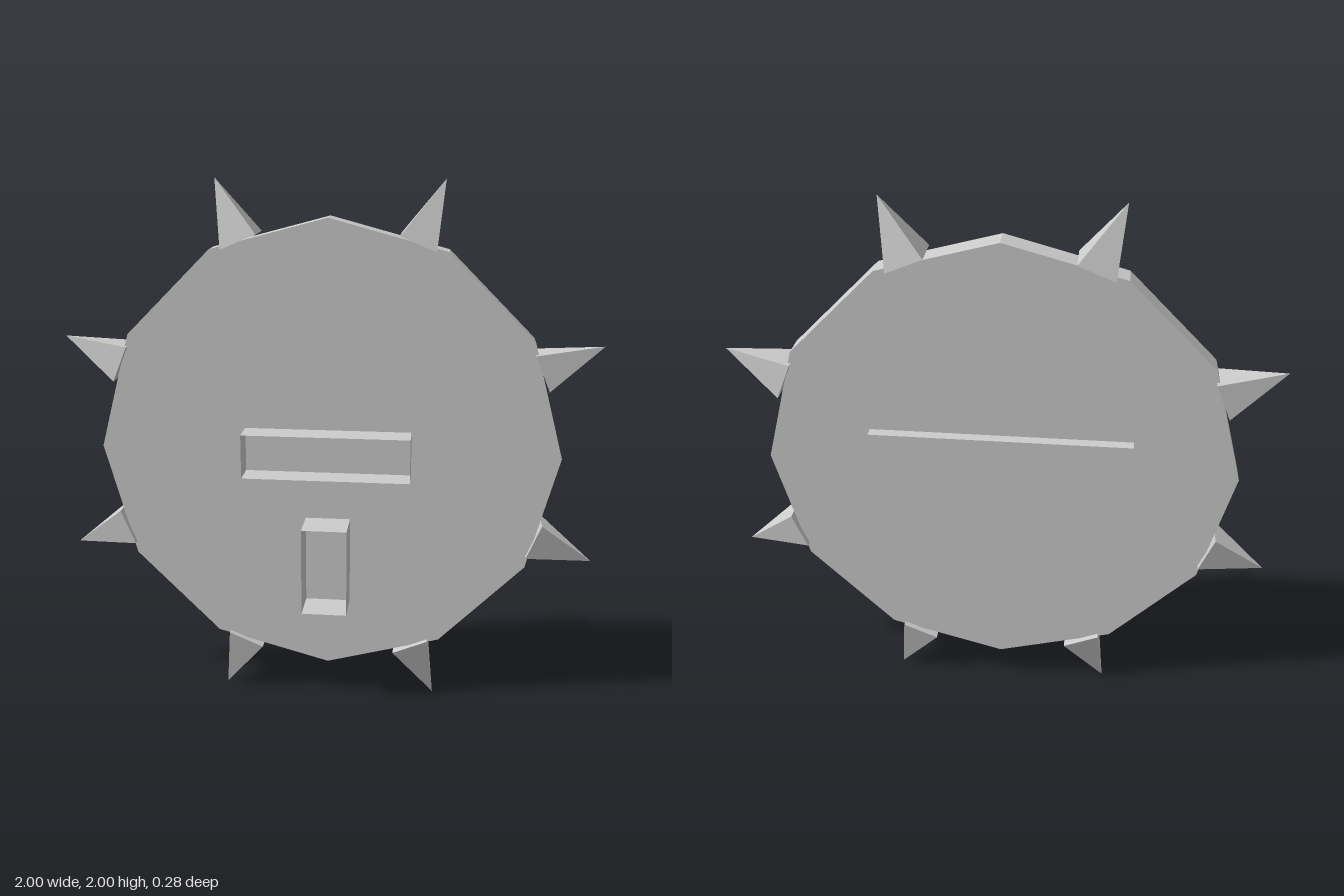
import * as THREE from 'three';

const CENTRE_Y = 1;
const DISC_Z = -0.051;
const DISC_FRONT = -0.004;

export function createModel() {
  const model = new THREE.Group();
  const steel = new THREE.MeshStandardMaterial({ color: 0xcccccc });
  steel.name = 'steel grey';
  steel.flatShading = true;
  steel.side = THREE.DoubleSide;

  function add(parent, name, geometry, x, y, z) {
    const mesh = new THREE.Mesh(geometry, steel);
    mesh.name = name;
    mesh.position.set(x, y, z);
    parent.add(mesh);
    return mesh;
  }

  // Twelve-sided shield body with a corner at the top
  const disc = new THREE.CylinderGeometry(0.865, 0.865, 0.094, 12).rotateX(Math.PI / 2);
  add(model, 'disc', disc, 0, CENTRE_Y, DISC_Z);

  // Flat bar across the back
  add(model, 'backBar', new THREE.BoxGeometry(0.96, 0.262, 0.043), 0, 1.004, -0.1185);

  // Eight square pyramids around the rim
  const baseR = 0.842, tipR = 1.082;
  const spike = new THREE.ConeGeometry(0.071 * Math.SQRT2, tipR - baseR, 4).rotateY(Math.PI / 4);
  const spikes = new THREE.Group();
  spikes.name = 'spikes';
  model.add(spikes);
  for (let i = 0; i < 8; i++) {
    const a = Math.PI / 8 + i * Math.PI / 4;
    const r = (baseR + tipR) / 2;
    const mesh = add(spikes, 'spike', spike, Math.cos(a) * r, CENTRE_Y + Math.sin(a) * r, DISC_Z);
    mesh.rotation.z = a - Math.PI / 2;
  }

  // Thin-walled straps, open at the front
  function strap(name, width, height, y, front) {
    const group = new THREE.Group();
    group.name = name;
    const depth = front - DISC_FRONT, z = (front + DISC_FRONT) / 2;
    for (const s of [-1, 1]) {
      const wall = new THREE.PlaneGeometry(depth, height).rotateY(s * Math.PI / 2);
      add(group, 'sideWall', wall, s * width / 2, y, z);
      const band = new THREE.PlaneGeometry(width, depth).rotateX(-s * Math.PI / 2);
      add(group, 'crossWall', band, 0, y + s * height / 2, z);
    }
    model.add(group);
  }
  strap('armStrap', 0.625, 0.166, 1.002, 0.102);
  strap('handStrap', 0.17, 0.335, 0.568, 0.14);

  return model;
}
